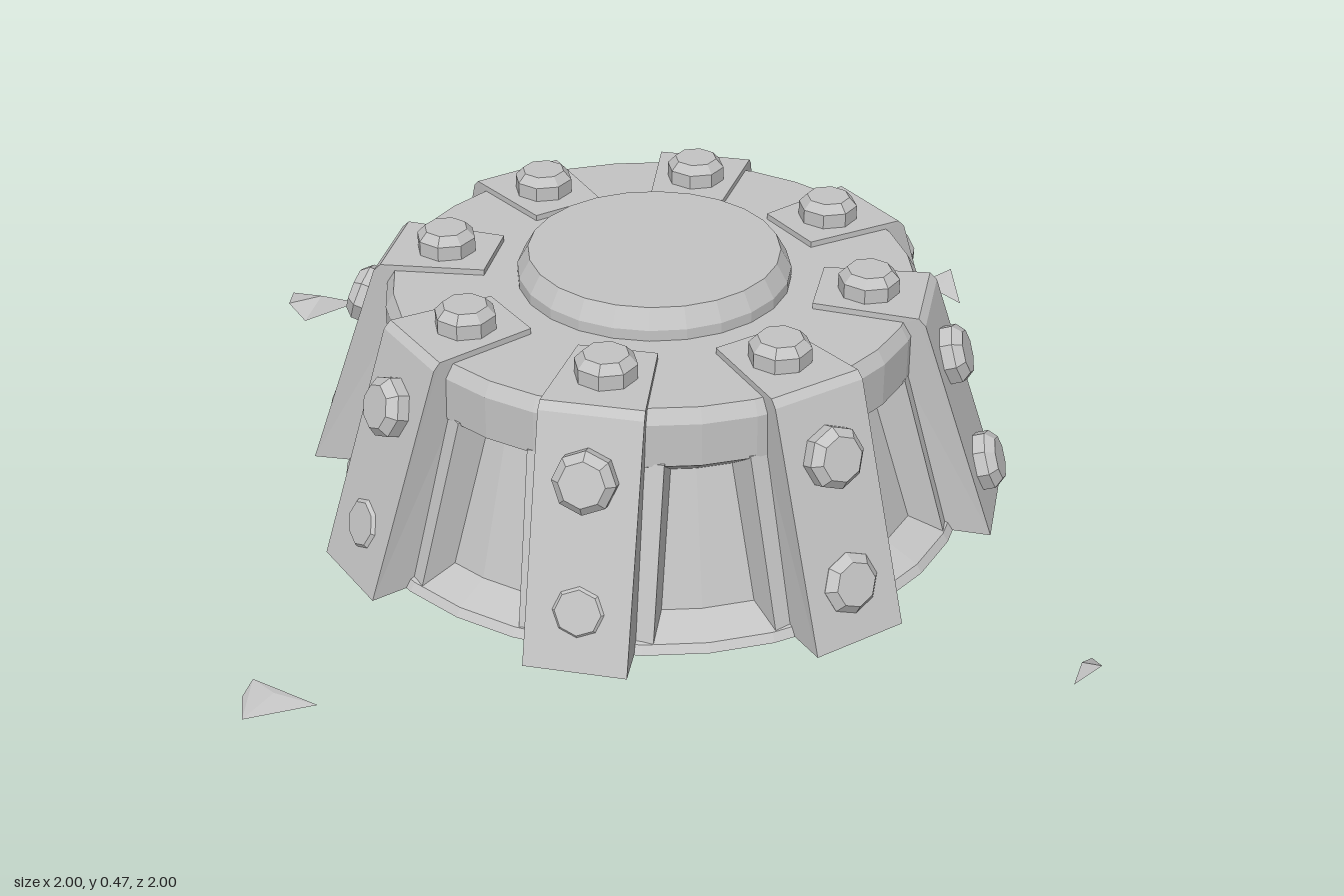
import * as THREE from 'three';
import { ConvexGeometry } from 'three/addons/geometries/ConvexGeometry.js';

const V2 = (p) => new THREE.Vector2(p[0], p[1]);

export function createModel() {
  const model = new THREE.Group();
  const stone = new THREE.MeshStandardMaterial({ color: 0xc4c4c4, flatShading: true });
  stone.name = 'grey';

  const add = (parent, name, geometry) => {
    const mesh = new THREE.Mesh(geometry, stone);
    mesh.name = name;
    parent.add(mesh);
    return mesh;
  };
  const lathe = (points, sides) => new THREE.LatheGeometry(points.map(V2), sides);

  const turret = new THREE.Group();
  turret.name = 'turretBase';
  turret.position.set(0.005, 0, -0.012);
  model.add(turret);

  // Core: ground flange, sloping wall, overhanging top ring and deck
  add(turret, 'core', lathe([
    [0, 0], [0.585, 0], [0.575, 0.015], [0.51, 0.04], [0.44, 0.28],
    [0.487, 0.315], [0.487, 0.395], [0.472, 0.42], [0, 0.42],
  ], 32));

  // Raised round cap
  add(turret, 'cap', lathe([[0.248, 0.41], [0.248, 0.44], [0.228, 0.475], [0, 0.475]], 24));

  // Side profile (radius, height) extruded across, narrowing toward the centre
  const ribGeometry = (profile, widthAt) => {
    const g = new THREE.ExtrudeGeometry(new THREE.Shape(profile.map(V2)), { depth: 1, bevelEnabled: false });
    const p = g.attributes.position;
    for (let i = 0; i < p.count; i++) p.setZ(i, (p.getZ(i) - 0.5) * widthAt(p.getX(i)));
    g.computeVertexNormals();
    return g;
  };
  const ribShape = ribGeometry(
    [[0.3, 0.4], [0.42, 0.4], [0.42, 0], [0.645, 0], [0.503, 0.418], [0.49, 0.431], [0.3, 0.431]],
    (r) => 0.14 + 0.04 * Math.min(1, (r - 0.3) / 0.2));
  const backingShape = ribGeometry(
    [[0.38, 0], [0.565, 0], [0.475, 0.32], [0.38, 0.32]], () => 0.235);

  // Chamfered eight-sided bolt
  const boltShape = lathe([[0.055, -0.03], [0.055, 0.027], [0.04, 0.043], [0, 0.043]], 8);
  const faceTilt = -Math.atan2(0.418, 0.142);

  // Lower bolts are sunk to different depths around the ring
  const sunk = [0.01, 0.005, 0.026, 0.038, 0.037, 0.034, 0.03, 0.026];

  for (let i = 0; i < 8; i++) {
    const rib = new THREE.Group();
    rib.name = 'rib' + (i + 1);
    rib.rotation.y = THREE.MathUtils.degToRad(80 - 45 * i);
    turret.add(rib);
    add(rib, 'ribPlate', ribShape);
    add(rib, 'ribBacking', backingShape);
    add(rib, 'topBolt', boltShape).position.set(0.39, 0.431, 0);
    for (const [name, y, depth] of [['upperBolt', 0.315, 0.005], ['lowerBolt', 0.1, sunk[i]]]) {
      const bolt = add(rib, name, boltShape);
      bolt.rotation.z = faceTilt;
      bolt.position.set(0.645 - 0.34 * y - depth * 0.947, y - depth * 0.322, 0);
    }
  }

  // Small rock shards lying around the base
  const shards = [
    [[-0.15, 0, -0.95], [-0.11, 0.03, -1], [-0.03, 0, -0.94], [-0.1, 0.012, -0.965]],
    [[0.94, 0, -0.15], [0.995, 0.04, -0.1], [0.965, 0, -0.07], [0.955, 0.025, -0.1]],
    [[-0.91, 0, 0], [-1, 0.025, 0.1], [-0.96, 0.03, 0.14], [-0.92, 0, 0.13], [-0.94, 0.03, 0.07]],
    [[0.04, 0.015, 0.93], [0.18, 0.025, 0.9], [0.1, 0, 0.995], [0.05, 0, 0.96], [0.1, 0.02, 0.93]],
  ];
  shards.forEach((s, i) => {
    add(model, 'shard' + (i + 1), new ConvexGeometry(s.map((p) => new THREE.Vector3(...p))));
  });

  return model;
}
